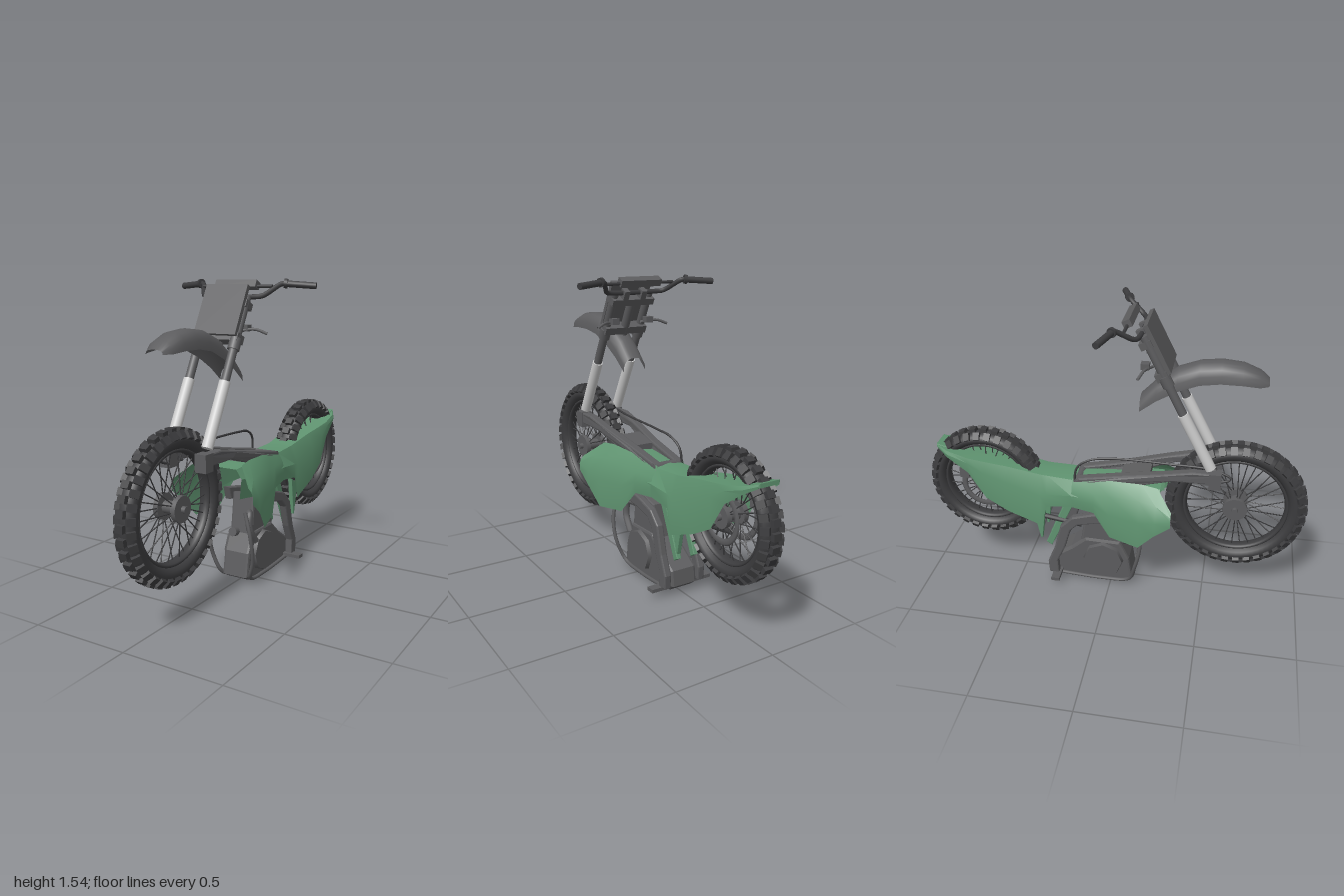
import * as THREE from 'three';
import { mergeGeometries, toCreasedNormals } from 'three/addons/utils/BufferGeometryUtils.js';

const mat = (color) => new THREE.MeshStandardMaterial({ color, side: THREE.DoubleSide });
const V = (p) => new THREE.Vector3(...p);

export function createModel() {
  const model = new THREE.Group();
  const GREY = mat(0xcccccc), DARK = mat(0x5c5c5e), BLACK = mat(0x3c3c3e), GREEN = mat(0x5f9370);

  const add = (name, geo, m, parent = model) => {
    const mesh = new THREE.Mesh(geo, m);
    mesh.name = name;
    parent.add(mesh);
    return mesh;
  };
  // straight round bar between two points
  const rod = (a, b, r, sides = 12, r2 = r) => {
    const d = V(b).sub(V(a));
    const g = new THREE.CylinderGeometry(r2, r, d.length(), sides);
    g.applyQuaternion(new THREE.Quaternion().setFromUnitVectors(V([0, 1, 0]), d.clone().normalize()));
    return g.translate(...V(a).addScaledVector(d, 0.5).toArray());
  };
  const tube = (pts, r, n = 32) =>
    new THREE.TubeGeometry(new THREE.CatmullRomCurve3(pts.map(V), false, 'centripetal'), n, r, 8);
  const box = (w, h, d, x, y, z, tilt = 0) => new THREE.BoxGeometry(w, h, d).rotateX(tilt).translate(x, y, z);
  // side outline of [z, y] points, extruded from x0 to x1
  const plate = (pts, x0, x1, bevel = 0.008) => {
    const shape = new THREE.Shape(pts.map(([z, y]) => new THREE.Vector2(z, y)));
    return new THREE.ExtrudeGeometry(shape, {
      depth: x1 - x0 - 2 * bevel, bevelThickness: bevel, bevelSize: bevel, bevelOffset: -bevel, bevelSegments: 2,
    }).rotateY(-Math.PI / 2).translate(x1 - bevel, 0, 0);
  };
  // skin through rows of [x, y, z] points
  const loft = (rows, crease = 0.5) => {
    const n = rows[0].length, idx = [];
    for (let i = 0; i < rows.length - 1; i++)
      for (let j = 0; j < n - 1; j++) {
        const a = i * n + j, b = a + n;
        idx.push(a, b, a + 1, b, b + 1, a + 1);
      }
    const g = new THREE.BufferGeometry();
    g.setAttribute('position', new THREE.Float32BufferAttribute(rows.flat(2), 3));
    g.setIndex(idx);
    g.computeVertexNormals();
    return toCreasedNormals(g, crease);
  };
  const mirrorX = (p) => p.map(([x, y, z]) => [-x, y, z]);

  // ---- wheels ----
  const wheel = (name, z, R, r, width, knobs, hubR) => {
    const g = new THREE.Group();
    g.name = name;
    g.position.set(0, 0.54, z);
    model.add(g);
    const ring = (rad, t, w) => new THREE.TorusGeometry(rad, t, 12, 64).scale(1, 1, w / t).rotateY(Math.PI / 2);
    add('tyre', ring(R, r, width), BLACK, g);
    add('rim', ring(R - r, 0.013, width * 0.6), BLACK, g);
    const blocks = [];
    for (let i = 0; i < knobs; i++)
      for (const row of [-1, 0, 1]) {
        const a = row * 0.95;
        blocks.push(new THREE.BoxGeometry(0.04, 0.022, 0.034).rotateZ(-a)
          .translate(width * Math.sin(a), R + (r + 0.006) * Math.cos(a), 0)
          .rotateX(((i + (row ? 0.5 : 0)) / knobs) * Math.PI * 2));
      }
    add('treadBlocks', mergeGeometries(blocks), BLACK, g);
    const spokes = [];
    for (let i = 0; i < 36; i++) {
      const a = (i / 36) * Math.PI * 2, b = a + (i % 4 < 2 ? 0.12 : -0.12), k = R - r;
      const x = i % 2 ? 0.04 : -0.04;
      spokes.push(rod([x, 0.05 * Math.cos(b), 0.05 * Math.sin(b)], [0, k * Math.cos(a), k * Math.sin(a)], 0.003, 5));
    }
    add('spokes', mergeGeometries(spokes), BLACK, g);
    add('hub', rod([-0.045, 0, 0], [0.045, 0, 0], 0.03, 24), DARK, g);
    for (const s of [-1, 1]) add('hubFlange', rod([s * 0.035, 0, 0], [s * 0.06, 0, 0], hubR, 24), DARK, g);
    add('axle', rod([-0.08, 0, 0], [0.08, 0, 0], 0.016), DARK, g);
    return g;
  };
  wheel('frontWheel', 0.64, 0.303, 0.042, 0.047, 36, 0.062);
  const rear = wheel('rearWheel', -0.685, 0.261, 0.036, 0.054, 32, 0.055);
  for (const s of [-1, 1])
    add(s < 0 ? 'brakeDisc' : 'sprocket', new THREE.TorusGeometry(0.115, 0.016, 6, 40).scale(1, 1, 0.4)
      .rotateY(Math.PI / 2).translate(s * 0.055, 0, 0), DARK, rear);
  add('brakeCaliper', box(0.04, 0.06, 0.05, -0.065, 0.08, -0.1), DARK, rear);

  // ---- fork and steering ----
  const TILT = -0.475;
  for (const s of [-1, 1]) {
    const x = s * 0.1;
    add('lowerForkLeg', rod([x, 0.795, 0.505], [x, 1.08, 0.355], 0.027, 20), GREY);
    add('upperForkLeg', rod([x, 1.07, 0.36], [x, 1.46, 0.16], 0.021, 20), DARK);
    add('forkSleeve', rod([x, 1.22, 0.283], [x, 1.27, 0.257], 0.029, 20), DARK);
    add('lever', tube([[s * 0.07, 1.3, 0.2], [s * 0.15, 1.31, 0.17], [s * 0.205, 1.29, 0.15]], 0.007), DARK);
    add('leverMount', box(0.04, 0.03, 0.04, s * 0.1, 1.315, 0.17), DARK);
    add('grip', rod([s * 0.245, 1.52, 0.038], [s * 0.38, 1.51, -0.005], 0.016), BLACK);
    add('gripCollar', rod([s * 0.235, 1.522, 0.042], [s * 0.25, 1.52, 0.037], 0.023), BLACK);
    add('barClamp', box(0.03, 0.05, 0.04, s * 0.05, 1.45, 0.145, TILT), DARK);
  }
  add('lowerClamp', box(0.24, 0.04, 0.06, 0, 1.27, 0.25, TILT), DARK);
  add('upperClamp', box(0.24, 0.035, 0.06, 0, 1.42, 0.172, TILT), DARK);
  add('steeringStem', rod([0, 1.24, 0.255], [0, 1.43, 0.16], 0.022), DARK);
  add('numberPlate', box(0.23, 0.255, 0.022, 0, 1.4, 0.225, TILT), DARK);
  const barHalf = [[0.25, 1.52, 0.037], [0.225, 1.52, 0.045], [0.165, 1.465, 0.125], [0.13, 1.46, 0.14]];
  add('handlebar', tube([...barHalf, ...mirrorX(barHalf).reverse()], 0.012, 64), BLACK);
  add('crossbar', rod([-0.195, 1.508, 0.085], [0.195, 1.508, 0.085], 0.008), BLACK);
  add('barPad', box(0.23, 0.036, 0.04, 0, 1.515, 0.085, TILT), DARK);

  // front mudguard: z, crown height, half width, side drop
  const guard = [
    [0.742, 1.25, 0.045, 0.02], [0.7, 1.285, 0.068, 0.055], [0.62, 1.318, 0.076, 0.08], [0.52, 1.328, 0.076, 0.09],
    [0.42, 1.317, 0.074, 0.095], [0.32, 1.28, 0.07, 0.1], [0.22, 1.21, 0.067, 0.09], [0.14, 1.125, 0.065, 0.068],
  ];
  add('frontFender', loft(guard.map(([z, y, w, d]) => [...Array(11)].map((_, j) => {
    const u = j / 5 - 1;
    return [w * Math.sin(u * Math.PI / 2), y - d * Math.pow(Math.abs(u), 2.4), z];
  })), 0.9), DARK);

  // ---- swing arm: two spars that spread towards the axle ----
  const spar = [[0.56, 0.715], [0.55, 0.775], [0.42, 0.775], [0.28, 0.745], [0.05, 0.695], [-0.18, 0.65],
    [-0.2, 0.62], [-0.16, 0.6], [0, 0.62], [0.18, 0.665], [0.32, 0.71]];
  for (const s of [-1, 1]) {
    const g = plate(spar, -0.024, 0.024);
    const p = g.attributes.position;
    for (let i = 0; i < p.count; i++)
      p.setX(i, p.getX(i) + s * (0.062 + 0.038 * THREE.MathUtils.smoothstep(p.getZ(i), -0.1, 0.42)));
    g.computeVertexNormals();
    add('swingArmSpar', g, DARK);
    add('axleBlock', box(0.06, 0.085, 0.06, s * 0.1, 0.735, 0.53), DARK);
  }
  add('swingArmBridge', plate([[0.2, 0.71], [0.05, 0.685], [0.05, 0.645], [0.2, 0.67]], -0.08, 0.08), DARK);
  add('swingArmPivot', rod([-0.085, 0.63, -0.17], [0.085, 0.63, -0.17], 0.022), DARK);
  add('cable', tube([[-0.07, 0.715, 0.46], [-0.085, 0.715, 0.56], [-0.09, 0.74, 0.61], [-0.08, 0.775, 0.52],
    [-0.06, 0.775, 0.3], [-0.05, 0.77, 0], [-0.06, 0.755, -0.11], [-0.07, 0.71, -0.175], [-0.08, 0.6, -0.19]], 0.006, 60), BLACK);

  // ---- bodywork: seat, side panels and tail in one skin ----
  // z, crown y, [top x, y], [middle x, y], [bottom x, y]
  const body = [
    [0.26, 0.645, 0.1, 0.645, 0.13, 0.6, 0.12, 0.5], [0.1, 0.66, 0.095, 0.65, 0.135, 0.58, 0.125, 0.48],
    [-0.08, 0.65, 0.085, 0.64, 0.128, 0.56, 0.125, 0.485], [-0.2, 0.645, 0.075, 0.635, 0.115, 0.56, 0.11, 0.49],
    [-0.335, 0.65, 0.07, 0.642, 0.11, 0.55, 0.108, 0.475], [-0.37, 0.655, 0.07, 0.645, 0.11, 0.54, 0.108, 0.35],
    [-0.55, 0.685, 0.078, 0.68, 0.11, 0.6, 0.108, 0.42], [-0.67, 0.705, 0.088, 0.7, 0.107, 0.64, 0.1, 0.485],
    [-0.76, 0.72, 0.092, 0.715, 0.1, 0.69, 0.096, 0.63], [-0.87, 0.745, 0.082, 0.742, 0.09, 0.725, 0.086, 0.705],
    [-0.93, 0.762, 0.055, 0.76, 0.058, 0.752, 0.056, 0.742],
  ];
  add('bodywork', loft(body.map(([z, c, ...q]) => {
    const half = [[q[4], q[5], z], [q[2], q[3], z], [q[0], q[1], z]];
    return [...half, [0, c, z], ...mirrorX(half).reverse()];
  })), GREEN);
  add('tailEnd', plate([[-0.86, 0.745], [-0.935, 0.765], [-0.935, 0.745], [-0.86, 0.715]], -0.055, 0.055, 0.004), GREEN);

  // flared radiator shrouds, one skin per side
  const shroud = [
    [[0.21, 0.585], [0.228, 0.565], [0.235, 0.545], [0.235, 0.51]],
    [[0.125, 0.665], [0.19, 0.6], [0.226, 0.52], [0.228, 0.445]],
    [[0.115, 0.675], [0.175, 0.61], [0.208, 0.5], [0.205, 0.345]],
    [[0.1, 0.668], [0.145, 0.6], [0.168, 0.5], [0.162, 0.36]],
    [[0.088, 0.655], [0.125, 0.59], [0.138, 0.54], [0.13, 0.48]],
    [[0.075, 0.645], [0.105, 0.59], [0.117, 0.54], [0.112, 0.49]],
  ];
  const shroudZ = [0.33, 0.25, 0.165, 0.01, -0.08, -0.2];
  for (const s of [-1, 1])
    add('radiatorShroud', loft(shroud.map((row, i) => row.map(([x, y]) => [s * x, y, shroudZ[i]]))), GREEN);

  // green struts under the seat
  for (const s of [-1, 1]) {
    add('subframeStrut', plate([[-0.19, 0.5], [-0.24, 0.5], [-0.36, 0.21], [-0.33, 0.19]], s * 0.05 - 0.013, s * 0.05 + 0.013, 0.004), GREEN);
    add('mudFlap', plate([[-0.35, 0.46], [-0.42, 0.42], [-0.385, 0.25], [-0.375, 0.25]], s * 0.07 - 0.012, s * 0.07 + 0.012, 0.003), GREEN);
  }

  // ---- engine and cradle ----
  add('crankcase', plate([[0.12, 0.035], [0.08, 0.012], [-0.06, 0], [-0.3, 0.022], [-0.335, 0.05], [-0.325, 0.13],
    [-0.22, 0.2], [-0.14, 0.27], [0.05, 0.265], [0.1, 0.16]], -0.075, 0.075, 0.014), DARK);
  add('cylinder', plate([[0.06, 0.22], [0.03, 0.46], [-0.14, 0.42], [-0.17, 0.22]], -0.065, 0.065, 0.012), DARK);
  for (const s of [-1, 1]) {
    add('engineCover', rod([s * 0.06, 0.145, -0.04], [s * 0.095, 0.145, -0.04], 0.115, 8, 0.105), DARK);
    add('cradleArm', plate([[0.04, 0.48], [-0.1, 0.455], [-0.2, 0.425], [-0.265, 0.36], [-0.3, 0.22], [-0.34, 0.12],
      [-0.335, 0.05], [-0.28, 0.04], [-0.285, 0.13], [-0.245, 0.22], [-0.21, 0.34], [-0.17, 0.38], [-0.08, 0.4],
      [0.02, 0.41]], s * 0.1 - 0.02, s * 0.1 + 0.02), DARK);
    add('downTube', tube([[s * 0.09, 0.4, 0.16], [s * 0.122, 0.28, 0.165], [s * 0.122, 0.15, 0.14],
      [s * 0.085, 0.035, 0.1], [s * 0.08, 0.018, -0.05], [s * 0.085, 0.035, -0.3]], 0.01, 40), DARK);
    add('footPeg', box(0.11, 0.018, 0.045, s * 0.12, 0.045, -0.29), DARK);
  }
  add('exhaustStub', rod([-0.03, 0.25, 0.03], [-0.03, 0.26, 0.09], 0.024), DARK);
  add('exhaustBend', tube([[0.03, 0.36, 0.02], [0.07, 0.37, 0.09], [0.08, 0.3, 0.1], [0.085, 0.22, 0.05]], 0.018), DARK);
  add('linkRod', rod([-0.06, 0.35, -0.16], [-0.06, 0.42, -0.62], 0.014), BLACK);

  return model;
}
